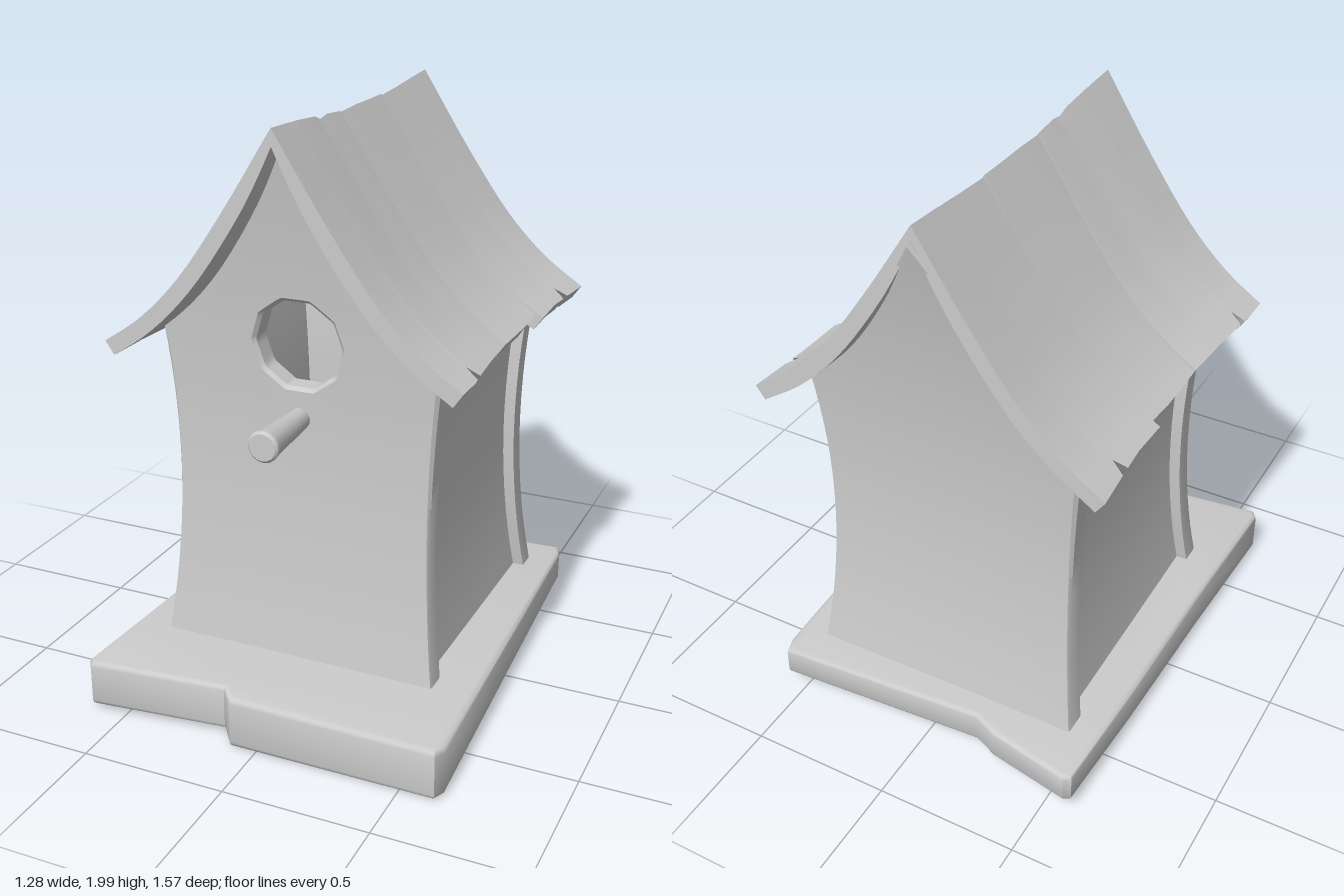
import * as THREE from 'three';
import { toCreasedNormals } from 'three/addons/utils/BufferGeometryUtils.js';

const CX = -0.01; // the house sits slightly off the centre of its base
const HOLE_Y = 1.285;
const lerp = THREE.MathUtils.lerp;

// Waisted half width and bowed front and back faces, by height
const halfWidth = y => 0.453 + 0.036 * ((y - 0.74) / 0.54) ** 2;
const frontZ = y => 0.393 + 0.055 * ((y - 0.95) / 0.75) ** 2;
const backZ = y => -0.543 - 0.06 * ((y - 0.87) / 0.68) ** 2;

// Swept roof slope from ridge to eave: (distance from ridge, height)
const slope = new THREE.CatmullRomCurve3(
  [[0, 2], [0.18, 1.72], [0.34, 1.5], [0.48, 1.36], [0.62, 1.262]]
    .map(([d, y]) => new THREE.Vector3(d, y, 0)));

function mesh(name, geometry, doubleSided = false) {
  const material = new THREE.MeshStandardMaterial({ color: 0xcccccc });
  if (doubleSided) material.side = THREE.DoubleSide;
  const m = new THREE.Mesh(geometry, material);
  m.name = name;
  return m;
}

// Moves every vertex by a rule (x, y, z) => [x, y, z]
function warp(geometry, rule) {
  const p = geometry.attributes.position;
  for (let i = 0; i < p.count; i++) p.setXYZ(i, ...rule(p.getX(i), p.getY(i), p.getZ(i)));
  geometry.computeVertexNormals();
  return geometry;
}

// Gable wall outline, counter-clockwise from the bottom middle
function gableOutline() {
  const right = [];
  for (let i = 0; i < 8; i++) right.push([halfWidth(0.16) * i / 8, 0.16]);
  for (let i = 0; i <= 16; i++) {
    const y = lerp(0.16, 1.29, i / 16);
    right.push([halfWidth(y), y]);
  }
  for (let i = 15; i >= 1; i--) {
    const p = slope.getPoint(0.78 * i / 16);
    right.push([p.x, p.y - 0.045]);
  }
  const left = right.slice(1).reverse().map(([x, y]) => [-x, y]);
  return [...right, [0, 1.955], ...left];
}

// Bowed gable wall, built as rings from a central hole to the outline
function gable(name, holeRadius, faceZ, thickness) {
  const outline = gableOutline();
  const n = outline.length, steps = 10, bevel = 0.012;
  // Cross-section loop: [0 hole .. 1 outline, depth, inset]
  const loop = [];
  for (let i = 0; i <= steps; i++) loop.push([i / steps, 0]);
  loop.push([1, bevel, 1], [1, thickness, 1]);
  for (let i = steps - 1; i >= 0; i--) loop.push([i / steps, thickness]);
  loop.push([0, bevel, 1]);
  const k = loop.length, pos = [], index = [];
  const dir = Math.sign(faceZ(1));
  outline.forEach(([ox, oy], a) => {
    const angle = Math.atan2(oy - HOLE_Y, ox);
    // Ten-sided hole
    const sector = Math.PI / 5;
    const off = ((angle % sector) + sector) % sector - sector / 2;
    const r = holeRadius * Math.cos(sector / 2) / Math.cos(off);
    const hx = Math.cos(angle) * r, hy = HOLE_Y + Math.sin(angle) * r;
    const len = Math.hypot(ox - hx, oy - hy);
    loop.forEach(([s, depth, edge], b) => {
      let t = s;
      if (!edge && s === 1 && depth === 0) t = 1 - bevel / len;
      if (!edge && s === 0 && depth === 0) t = -Math.min(0, holeRadius) + (holeRadius > 0.01 ? bevel / len : 0);
      const y = lerp(hy, oy, t);
      pos.push(CX + lerp(hx, ox, t), y, faceZ(y) - dir * depth);
      const a2 = (a + 1) % n, b2 = (b + 1) % k;
      const q = [a * k + b, a * k + b2, a2 * k + b2, a2 * k + b];
      if (dir > 0) index.push(q[0], q[1], q[2], q[0], q[2], q[3]);
      else index.push(q[0], q[2], q[1], q[0], q[3], q[2]);
    });
  });
  const g = new THREE.BufferGeometry();
  g.setAttribute('position', new THREE.Float32BufferAttribute(pos, 3));
  g.setIndex(index);
  return mesh(name, toCreasedNormals(g, 0.6), true);
}

// Side wall set in between the gables
function sideWall(side) {
  const g = warp(new THREE.BoxGeometry(1, 1, 1, 1, 14, 1), (u, v, w) => {
    const y = lerp(0.16, 1.325, v + 0.5);
    const x = halfWidth(y) - 0.04 + (side * u - 0.5) * 0.04;
    return [CX + side * x, y, lerp(backZ(y) + 0.05, frontZ(y) - 0.05, w + 0.5)];
  });
  return mesh(side > 0 ? 'leftWall' : 'rightWall', g);
}

// Roof boards, as stations along z: [z, reach of the slope, ridge drop, overall drop]
const boards = {
  frontBoard: [[0.56, 0.985, 0, 0], [0.45, 0.985, 0.004, 0], [0.425, 0.98, 0.006, 0],
    [0.41, 0.9, 0.006, 0], [0.395, 0.975, 0.006, 0], [0.26, 0.955, 0.01, 0.006],
    [0.22, 0.95, 0.022, 0.008], [0.17, 0.945, 0.012, 0.01], [0.07, 0.93, 0.012, 0.018]],
  middleBoard: [[0.075, 0.925, 0.008, 0.026], [-0.05, 0.928, 0.004, 0.024],
    [-0.15, 0.928, 0.004, 0.024], [-0.265, 0.92, 0.006, 0.02]],
  backBoard: [[-0.255, 0.97, 0.02, 0.012], [-0.4, 0.965, 0.012, 0.01], [-0.49, 0.975, 0.006, 0.008],
    [-0.51, 0.9, 0.005, 0.008], [-0.53, 0.98, 0.004, 0.006], [-0.67, 1, 0, 0]],
};

function roofBoard(name, stations, side) {
  const last = stations.length - 1;
  const g = new THREE.BoxGeometry(1, 1, 1, 16, 1, last);
  warp(g, (a, b, c) => {
    const u = side * a + 0.5;
    const [z, reach, ridgeDrop, drop] = stations[Math.round((0.5 - c) * last)];
    const t = u * reach;
    const p = slope.getPoint(t), tan = slope.getTangent(t);
    // Thickness runs straight down at the ridge and square to the slope below it
    const k = (1 - u) ** 4;
    const nx = lerp(tan.y, 0, k), ny = lerp(-tan.x, -1, k);
    const th = (0.5 - b) * 0.055 / Math.hypot(nx, ny);
    const x = Math.max(0, p.x + nx * th);
    return [CX + side * x, p.y + ny * th - drop - ridgeDrop * (1 - u), z];
  });
  return mesh(name, g);
}

// Uneven base slab with chipped edges, thinner towards the back
function baseSlab() {
  const outline = [[-0.62, 0.77], [-0.14, 0.72], [-0.09, 0.78], [0.62, 0.78], [0.64, 0.74],
    [0.61, 0.05], [0.58, -0.68], [0.56, -0.74], [-0.19, -0.69], [-0.28, -0.73], [-0.57, -0.785],
    [-0.595, -0.77], [-0.61, -0.35], [-0.62, 0.2], [-0.64, 0.74]];
  const shape = new THREE.Shape(outline.map(([x, z]) => new THREE.Vector2(x, -z)));
  const bevel = 0.02;
  const g = new THREE.ExtrudeGeometry(shape, {
    depth: 0.14, bevelThickness: bevel, bevelSize: bevel, bevelOffset: -bevel, bevelSegments: 3,
  });
  g.rotateX(-Math.PI / 2);
  warp(g, (x, y, z) => {
    const t = (y + bevel) / (0.14 + 2 * bevel);
    const bottom = 0.037 - 0.035 * z + (x < -0.1 && z > 0 ? 0.018 * z / 0.78 : 0);
    const top = 0.185 + 0.01 * z - (x > 0 ? 0.005 : 0);
    return [x, lerp(bottom, top, t), z];
  });
  return mesh('base', toCreasedNormals(g, 0.7));
}

// Tapered perch, wider at its free end
function perch() {
  const profile = [[0, 0], [0.034, 0], [0.046, 0.275], [0.053, 0.285], [0.053, 0.297], [0.045, 0.305], [0, 0.305]];
  profile[2][0] = 0.05;
  const g = new THREE.LatheGeometry(profile.map(([r, y]) => new THREE.Vector2(r, y)), 16);
  const m = mesh('perch', toCreasedNormals(g, 0.6));
  m.rotation.x = Math.PI / 2;
  m.position.set(CX, 1.035, 0.355);
  return m;
}

export function createModel() {
  const model = new THREE.Group();
  model.name = 'birdhouse';
  model.add(baseSlab(), perch());
  model.add(gable('frontWall', 0.152, frontZ, 0.078), gable('backWall', 0.002, backZ, 0.082));
  const roof = new THREE.Group();
  roof.name = 'roof';
  for (const side of [1, -1]) {
    model.add(sideWall(side));
    for (const [name, stations] of Object.entries(boards)) {
      roof.add(roofBoard((side > 0 ? 'left ' : 'right ') + name, stations, side));
    }
  }
  model.add(roof);
  return model;
}
